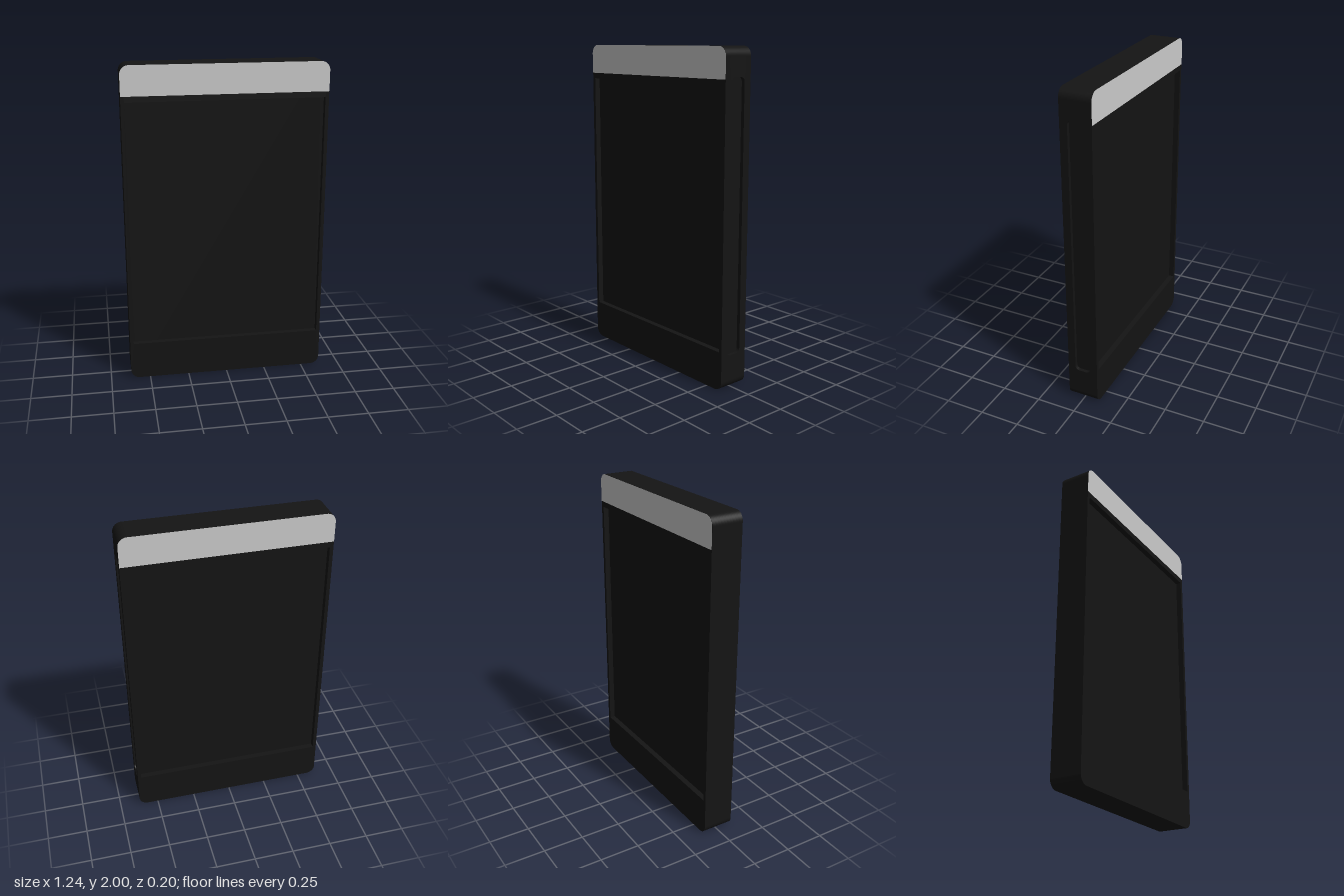
import * as THREE from 'three';

const W = 0.622, H = 2, D = 0.097;      // half width, height, half depth
const R = 0.055;                        // outer corner radius
const FLOOR = 0.062;                    // half depth at the recessed panels
const SLOT = { depth: 0.022, y0: 0.15, y1: 1.89 };

// Rounded rectangle with separate bottom and top radii
function roundRect(path, x0, y0, x1, y1, rb, rt = rb) {
  path.moveTo(x0 + rb, y0);
  path.lineTo(x1 - rb, y0);
  if (rb) path.absarc(x1 - rb, y0 + rb, rb, -Math.PI / 2, 0, false);
  path.lineTo(x1, y1 - rt);
  if (rt) path.absarc(x1 - rt, y1 - rt, rt, 0, Math.PI / 2, false);
  path.lineTo(x0 + rt, y1);
  if (rt) path.absarc(x0 + rt, y1 - rt, rt, Math.PI / 2, Math.PI, false);
  path.lineTo(x0, y0 + rb);
  if (rb) path.absarc(x0 + rb, y0 + rb, rb, Math.PI, Math.PI * 1.5, false);
  return path;
}

const extrude = (shape, depth) =>
  new THREE.ExtrudeGeometry(shape, { depth, bevelEnabled: false, curveSegments: 8 });

export function createModel() {
  const model = new THREE.Group();
  const dark = new THREE.MeshStandardMaterial({ color: 0x141414 });
  const grey = new THREE.MeshStandardMaterial({ color: 0xcccccc });
  const add = (name, geometry, material) => {
    const mesh = new THREE.Mesh(geometry, material);
    mesh.name = name;
    model.add(mesh);
    return mesh;
  };

  // Core slab, notched along its +x edge to hold the slotted strip
  const core = new THREE.Shape();
  core.moveTo(-W + R, 0);
  core.lineTo(W - R, 0);
  core.absarc(W - R, R, R, -Math.PI / 2, 0, false);
  core.lineTo(W, SLOT.y0);
  core.lineTo(W - SLOT.depth, SLOT.y0);
  core.lineTo(W - SLOT.depth, SLOT.y1);
  core.lineTo(W, SLOT.y1);
  core.lineTo(W, H - R);
  core.absarc(W - R, H - R, R, 0, Math.PI / 2, false);
  core.lineTo(-W + R, H);
  core.absarc(-W + R, H - R, R, Math.PI / 2, Math.PI, false);
  core.lineTo(-W, R);
  core.absarc(-W + R, R, R, Math.PI, Math.PI * 1.5, false);
  add('coreSlab', extrude(core, FLOOR * 2).translate(0, 0, -FLOOR), dark);

  // Side strip with a long rounded groove
  const strip = roundRect(new THREE.Shape(), -FLOOR, SLOT.y0, FLOOR, SLOT.y1, 0);
  strip.holes.push(roundRect(new THREE.Path(), -0.05, 0.21, 0.05, 1.83, 0.025));
  add('sideGroove', extrude(strip, SLOT.depth).rotateY(Math.PI / 2)
    .translate(W - SLOT.depth, 0, 0), dark);

  // Face frames around the recessed panels, and the pale bands above them
  const frame = roundRect(new THREE.Shape(), -W, 0, W, H, R);
  frame.holes.push(roundRect(new THREE.Path(), -0.6, 0.24, 0.6, 1.785, 0));
  const band = roundRect(new THREE.Shape(), -W, 1.82, W, H, 0, R);
  for (const [side, turn] of [['front', 0], ['back', Math.PI]]) {
    add(side + 'Frame', extrude(frame, D - FLOOR).translate(0, 0, FLOOR), dark).rotation.y = turn;
    add(side + 'Band', new THREE.ShapeGeometry(band, 8).translate(0, 0, D + 0.001), grey).rotation.y = turn;
  }
  return model;
}
